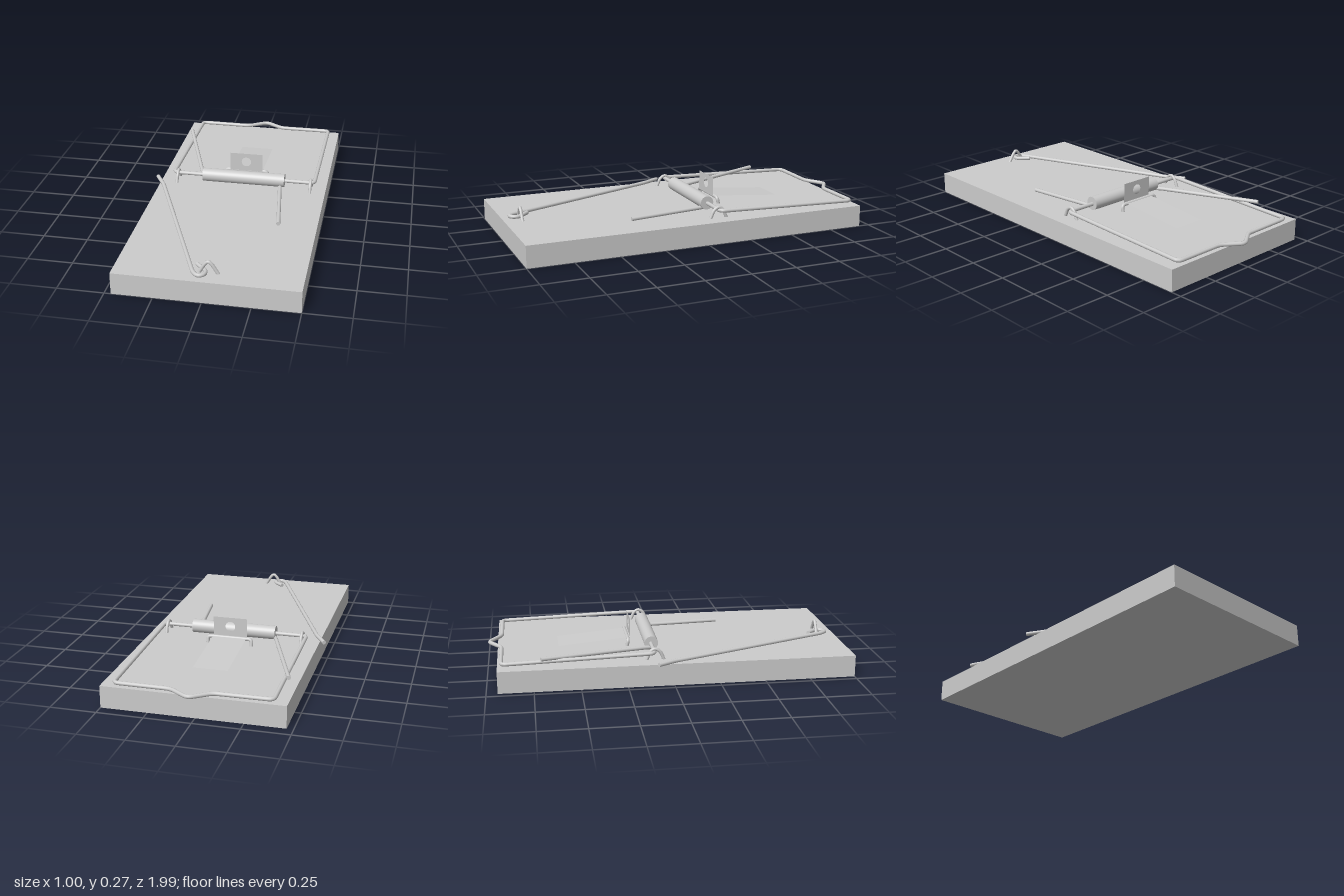
import * as THREE from 'three';

const material = new THREE.MeshStandardMaterial({ color: 0xcccccc });
const sheetMaterial = new THREE.MeshStandardMaterial({ color: 0xcccccc, side: THREE.DoubleSide });

// Polyline with every inner corner rounded by a given bend radius
function bentPath(points, bend, closed) {
  const p = points.map((a) => new THREE.Vector3(...a));
  const n = p.length;
  const path = new THREE.CurvePath();
  const toward = (a, b) => {
    const d = a.distanceTo(b);
    return a.clone().lerp(b, Math.min(bend, d * 0.45) / d);
  };
  let cursor = closed ? toward(p[0], p[1]) : p[0];
  const last = closed ? n : n - 2;
  for (let i = 1; i <= last; i++) {
    const corner = p[i % n];
    const enter = toward(corner, p[i - 1]);
    const leave = toward(corner, p[(i + 1) % n]);
    path.add(new THREE.LineCurve3(cursor, enter));
    path.add(new THREE.QuadraticBezierCurve3(enter, corner, leave));
    cursor = leave;
  }
  if (!closed) path.add(new THREE.LineCurve3(cursor, p[n - 1]));
  return path;
}

// Round wire with capped ends
function wire(name, points, { radius = 0.011, bend = 0.02, closed = false, segments = 60 } = {}) {
  const group = new THREE.Group();
  group.name = name;
  const path = bentPath(points, bend, closed);
  group.add(new THREE.Mesh(new THREE.TubeGeometry(path, segments, radius, 12, closed), material));
  if (!closed) {
    for (const [t, sign] of [[0, -1], [1, 1]]) {
      const cap = new THREE.Mesh(new THREE.CircleGeometry(radius, 12), material);
      cap.position.copy(path.getPointAt(t));
      const outward = path.getTangentAt(t).multiplyScalar(sign);
      cap.quaternion.setFromUnitVectors(new THREE.Vector3(0, 0, 1), outward);
      group.add(cap);
    }
  }
  group.children.forEach((m) => { m.name = name; });
  return group;
}

export function createModel() {
  const model = new THREE.Group();
  model.name = 'springTrap';

  // Wooden board
  const board = new THREE.Mesh(new THREE.BoxGeometry(0.965, 0.12, 1.94), material);
  board.name = 'board';
  board.position.set(0.0175, 0.06, 0.03);
  model.add(board);

  // Coil sleeve around the pivot rod
  const spring = new THREE.Mesh(new THREE.CylinderGeometry(0.038, 0.038, 0.48, 32), material);
  spring.name = 'spring';
  spring.rotation.z = Math.PI / 2;
  spring.position.set(0.02, 0.164, -0.095);
  model.add(spring);

  // Swinging frame with its pointed rear edge; the front side is the pivot rod
  model.add(wire('strikerFrame', [
    [0.02, 0.162, -0.098], [0.433, 0.162, -0.098], [0.433, 0.137, -0.918],
    [0.13, 0.136, -0.918], [0.02, 0.134, -0.992], [-0.09, 0.136, -0.918],
    [-0.396, 0.137, -0.918], [-0.396, 0.162, -0.098],
  ], { closed: true, bend: 0.028, segments: 240 }));

  // Spring legs: one hooked over the frame, one lying on the board
  model.add(wire('springLegRear', [
    [-0.21, 0.137, -0.085], [-0.235, 0.143, -0.15], [-0.424, 0.166, -0.708],
  ]));
  model.add(wire('springLegFront', [
    [0.235, 0.135, -0.08], [0.29, 0.13, 0.363],
  ]));

  // Staples holding the pivot rod
  for (const x of [-0.37, 0.412]) {
    model.add(wire('pivotStaple', [
      [x, 0.115, -0.045], [x, 0.165, -0.066], [x, 0.182, -0.096],
      [x, 0.165, -0.122], [x, 0.115, -0.142],
    ], { radius: 0.009 }));
  }

  // Staple and holding bar at the front
  model.add(wire('frontStaple', [
    [-0.032, 0.115, 0.905], [0.0, 0.17, 0.905], [0.018, 0.186, 0.905],
    [0.036, 0.17, 0.905], [0.07, 0.115, 0.905],
  ], { radius: 0.009 }));
  model.add(wire('holdingBar', [
    [-0.494, 0.129, -0.09], [-0.435, 0.129, 0.01], [-0.058, 0.129, 0.925],
    [-0.03, 0.129, 0.958], [0.002, 0.129, 0.945], [0.008, 0.129, 0.908],
    [-0.05, 0.131, 0.85],
  ], { segments: 120 }));

  // Upright bait tab with a round hole
  const tabShape = new THREE.Shape();
  tabShape.moveTo(-0.078, 0.16).lineTo(0.113, 0.16).lineTo(0.113, 0.267).lineTo(-0.078, 0.267).closePath();
  tabShape.holes.push(new THREE.Path().absarc(0.017, 0.215, 0.028, 0, Math.PI * 2, true));
  const tab = new THREE.Mesh(new THREE.ShapeGeometry(tabShape, 24), sheetMaterial);
  tab.name = 'baitTab';
  tab.position.z = -0.198;
  model.add(tab);

  // Thin trigger plate sloping down to the rear
  const drop = 0.036, run = 0.405;
  const plate = new THREE.Mesh(new THREE.PlaneGeometry(0.191, Math.hypot(drop, run)), sheetMaterial);
  plate.name = 'triggerPlate';
  plate.rotation.x = -Math.PI / 2 - Math.atan2(drop, run);
  plate.position.set(0.0175, 0.142, -0.198 - run / 2);
  model.add(plate);

  // Hinge wire under the trigger plate
  model.add(wire('triggerStaple', [
    [-0.108, 0.115, -0.22], [-0.108, 0.155, -0.212], [0.142, 0.155, -0.212], [0.142, 0.115, -0.22],
  ], { radius: 0.01 }));

  return model;
}
